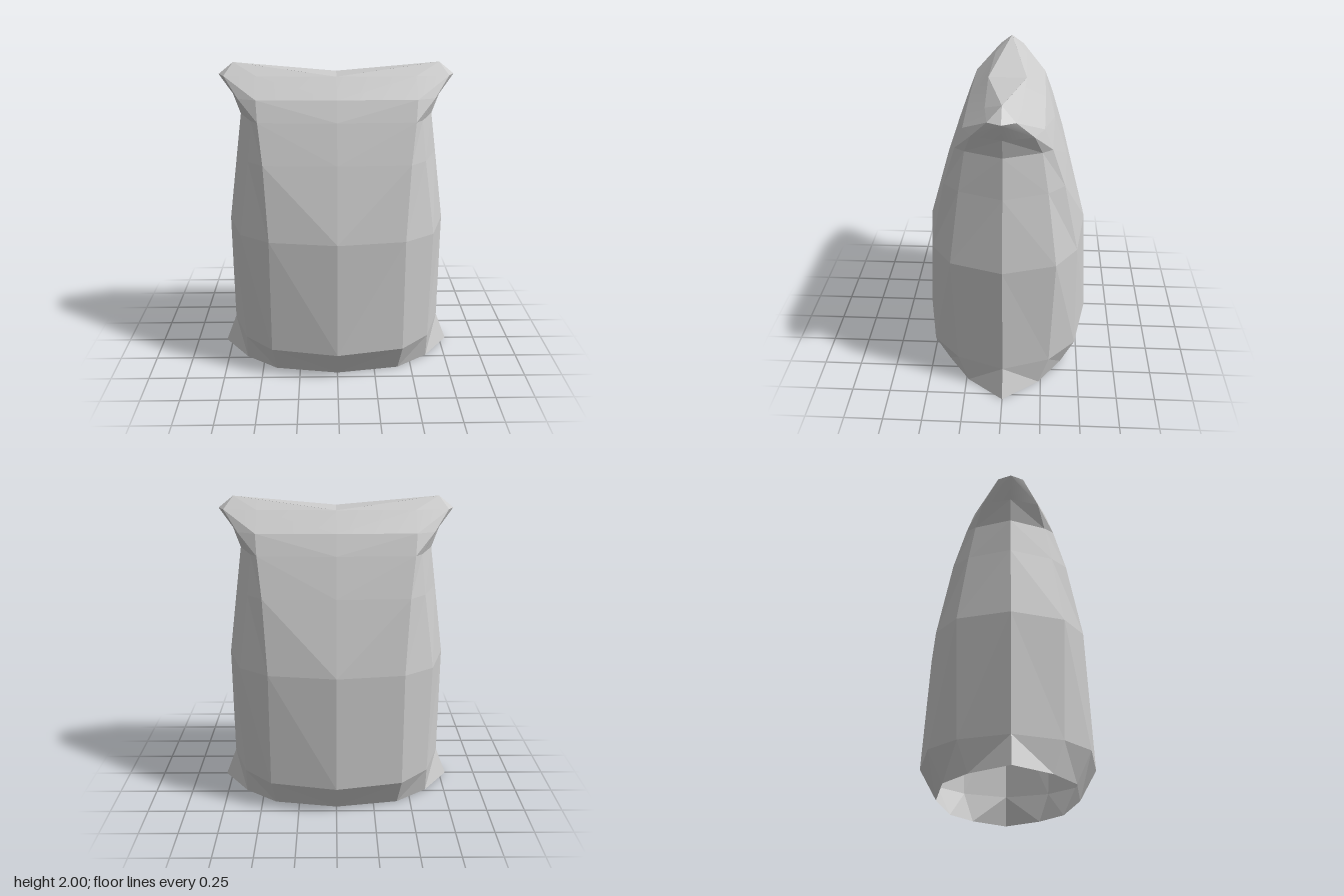
import * as THREE from 'three';
import { toCreasedNormals } from 'three/addons/utils/BufferGeometryUtils.js';

// Quarter sections, listed from the front middle round to the side: [x, y, z]
const section = (y, az, bx, bz, cx, cz, dx) => [[0, y, az], [bx, y, bz], [cx, y, cz], [dx, y, 0]];
const hem = section(0, 0.45, 0.41, 0.385, 0.62, 0.235, 0.795);
const belly = section(0.195, 0.56, 0.43, 0.475, 0.615, 0.30, 0.72);
const waist = section(0.95, 0.52, 0.43, 0.46, 0.62, 0.325, 0.72);
const chest = section(1.42, 0.385, 0.46, 0.365, 0.56, 0.265, 0.655);
const neck = section(1.67, 0.30, 0.49, 0.285, 0.535, 0.225, 0.62);
const collar = section(1.8, 0.24, 0.50, 0.235, 0.615, 0.18, 0.665);
const lip = section(1.925, 0.12, 0.50, 0.105, 0.71, 0.08, 0.75);
// The crest dips in the middle and rises to a point at each side
const crest = [[0, 1.925, 0.12], [0.5, 1.982, 0.029], [0.655, 2, 0], [0.655, 2, 0]];

// Mirror a quarter section into a closed ring of 12 points
function ring([a, b, c, d]) {
  const flip = (p, sx, sz) => [p[0] * sx, p[1], p[2] * sz];
  return [a, b, c, d, flip(c, 1, -1), flip(b, 1, -1), flip(a, 1, -1),
    flip(b, -1, -1), flip(c, -1, -1), flip(d, -1, 1), flip(c, -1, 1), flip(b, -1, 1)];
}

function fromTriangles(points) {
  const geometry = new THREE.BufferGeometry();
  geometry.setAttribute('position', new THREE.Float32BufferAttribute(points.flat(), 3));
  geometry.computeVertexNormals();
  return geometry;
}

// Skin neighbouring rings, leaving out collapsed triangles
function loft(sections) {
  const rings = sections.map(ring);
  const points = [];
  const add = (a, b, c) => {
    const [p, q, r] = [a, b, c].map((v) => new THREE.Vector3(...v));
    if (new THREE.Triangle(p, q, r).getArea() > 1e-6) points.push(a, b, c);
  };
  for (let k = 0; k < rings.length - 1; k++) {
    for (let i = 0; i < 12; i++) {
      const j = (i + 1) % 12;
      const [a, b, c, d] = [rings[k][i], rings[k][j], rings[k + 1][j], rings[k + 1][i]];
      // Diagonals are mirrored between the quarters
      if (Math.floor(i / 3) % 2 === 0) {
        add(a, b, c);
        add(a, c, d);
      } else {
        add(a, b, d);
        add(b, c, d);
      }
    }
  }
  return fromTriangles(points);
}

export function createModel() {
  const group = new THREE.Group();
  group.name = 'pouch';
  const cloth = new THREE.MeshStandardMaterial({ color: 0xcccccc, side: THREE.DoubleSide });
  cloth.name = 'light grey cloth';

  const addPart = (name, geometry) => {
    const mesh = new THREE.Mesh(geometry, cloth);
    mesh.name = name;
    group.add(mesh);
  };

  // Faceted body, open at the bottom
  addPart('body', loft([hem, belly, waist, chest, neck, collar]));
  // Flared rim with softened facets
  addPart('rim', toCreasedNormals(loft([collar, lip]), 0.5));
  addPart('crest', loft([lip, crest]));

  // Closed top between the two raised corners
  const front = [0, 1.925, 0.12], back = [0, 1.925, -0.12];
  addPart('top', fromTriangles([
    front, [0.655, 2, 0], back,
    back, [-0.655, 2, 0], front,
  ]));
  return group;
}
